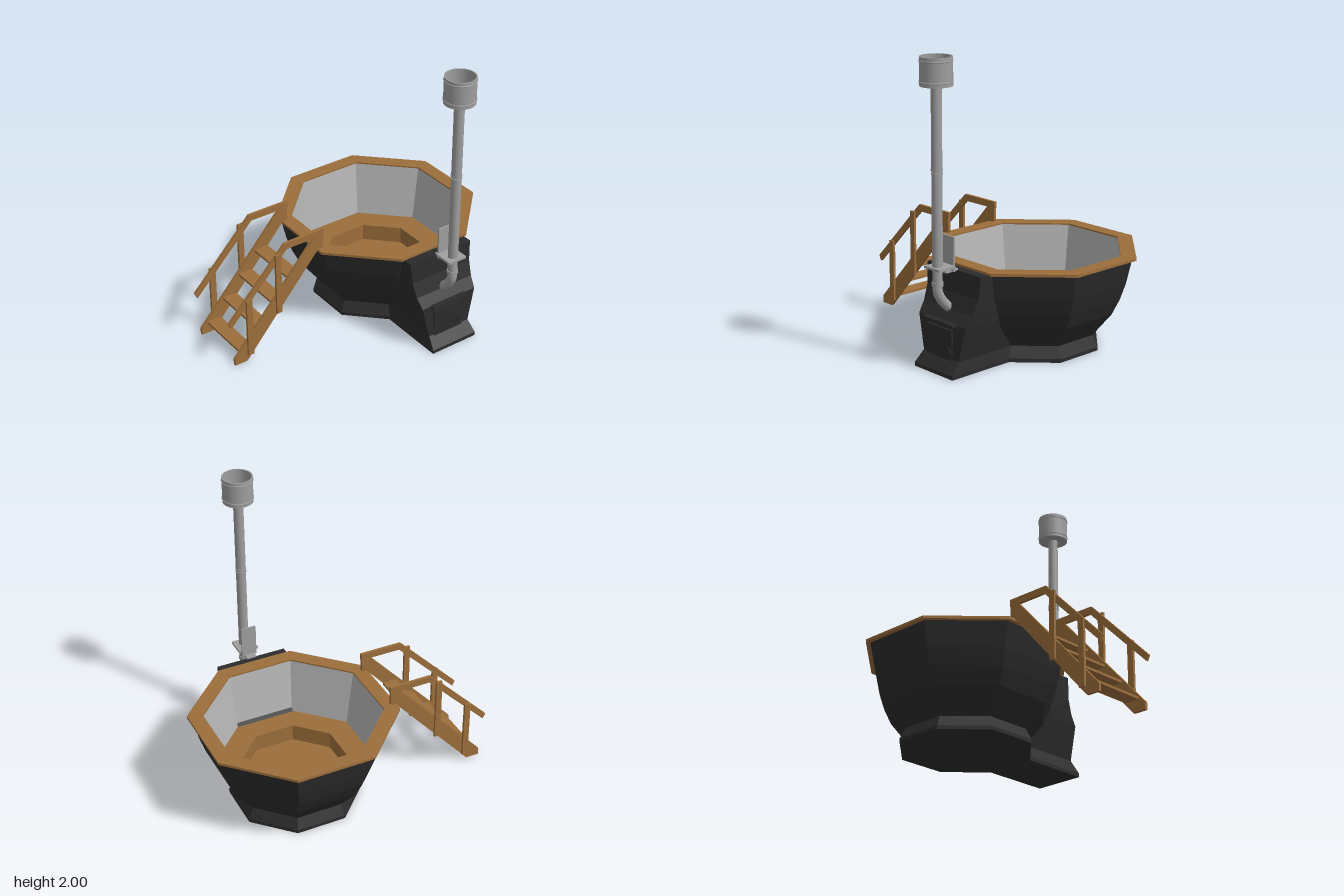
import * as THREE from 'three';

const mat = (name, color) => Object.assign(new THREE.MeshStandardMaterial({ color }), { name });

export function createModel() {
  const wood = mat('wood', 0x9c6e3b);
  const black = mat('black shell', 0x2b2b2b);
  const liner = mat('pale liner', 0xb4b4b4);
  const metal = mat('flue metal', 0x9e9e9e);

  const model = new THREE.Group();
  model.name = 'hotTub';
  const CX = -0.157, CZ = -0.35; // tub centre
  const FX = 0.685, FZ = -0.345; // flue axis
  const SX = -0.153; // stair centre

  const add = (parent, name, geo, material, x = 0, y = 0, z = 0) => {
    const m = new THREE.Mesh(geo, material);
    m.name = name;
    m.position.set(x, y, z);
    parent.add(m);
    return m;
  };
  const box = (parent, name, material, x0, x1, y0, y1, z0, z1) =>
    add(parent, name, new THREE.BoxGeometry(x1 - x0, y1 - y0, z1 - z0), material,
      (x0 + x1) / 2, (y0 + y1) / 2, (z0 + z1) / 2);
  const faceted = (geo) => {
    const g = geo.toNonIndexed();
    g.computeVertexNormals();
    return g;
  };
  const pts = (list) => list.map(([a, b]) => new THREE.Vector2(a, b));

  // Octagonal solid from [apothem, y] pairs, flats facing the axes
  const octagon = (profile) => faceted(new THREE.LatheGeometry(
    pts(profile.map(([a, y]) => [a / Math.cos(Math.PI / 8), y])), 8, Math.PI / 8));

  // Tub
  const tub = new THREE.Group();
  tub.name = 'tub';
  tub.position.set(CX, 0, CZ);
  model.add(tub);
  add(tub, 'outerShell', octagon([[0, 0], [0.415, 0], [0.415, 0.025], [0.38, 0.1],
    [0.5, 0.26], [0.55, 0.37], [0.585, 0.48], [0.62, 0.645]]), black);
  add(tub, 'innerLiner', octagon([[0.55, 0.65], [0.49, 0.27]]), liner);
  add(tub, 'benchAndFloor', octagon([[0.492, 0.27], [0.33, 0.27], [0.33, 0.15], [0, 0.15]]), wood);
  add(tub, 'rim', octagon([[0.55, 0.642], [0.648, 0.642], [0.648, 0.66], [0.55, 0.66], [0.55, 0.642]]), wood);

  // Stove housing: a box reshaped at each level [y, inner x, outer x, half width]
  const levels = [[0, 0.25, 0.73, 0.18], [0.025, 0.25, 0.73, 0.18], [0.1, 0.21, 0.665, 0.165],
    [0.33, 0.36, 0.655, 0.22], [0.4, 0.39, 0.605, 0.23], [0.5, 0.425, 0.567, 0.24], [0.645, 0.45, 0.555, 0.25]];
  const housing = new THREE.BoxGeometry(1, 1, 1, 1, levels.length - 1, 1);
  const p = housing.attributes.position;
  for (let i = 0; i < p.count; i++) {
    const [y, xi, xo, hz] = levels[Math.round((p.getY(i) + 0.5) * (levels.length - 1))];
    p.setXYZ(i, p.getX(i) > 0 ? xo : xi, y, CZ + Math.sign(p.getZ(i)) * hz);
  }
  const stove = new THREE.Group();
  stove.name = 'stove';
  model.add(stove);
  add(stove, 'stoveHousing', faceted(housing), black);
  box(stove, 'stoveDoor', black, 0.65, 0.672, 0.09, 0.29, -0.455, -0.22);
  box(stove, 'doorHandle', black, 0.67, 0.682, 0.135, 0.17, -0.445, -0.415);
  box(stove, 'doorHood', black, 0.63, 0.69, 0.322, 0.336, -0.485, -0.2);

  // Flue pipe
  const flue = new THREE.Group();
  flue.name = 'flue';
  model.add(flue);
  const turned = (name, profile) =>
    add(flue, name, new THREE.LatheGeometry(pts(profile), 24), metal, FX, 0, FZ);
  const pipe = (name, r, y0, y1) =>
    add(flue, name, new THREE.CylinderGeometry(r, r, y1 - y0, 24), metal, FX, (y0 + y1) / 2, FZ);
  pipe('lowerPipe', 0.034, 0.66, 1.285);
  pipe('pipeJoint', 0.03, 1.28, 1.3);
  pipe('upperPipe', 0.034, 1.295, 1.83);
  pipe('jointCollarLow', 0.037, 1.272, 1.285);
  pipe('jointCollarHigh', 0.037, 1.295, 1.308);
  pipe('elbowCollar', 0.037, 0.56, 0.585);
  const bend = new THREE.CatmullRomCurve3([[0.685, 0.68], [0.685, 0.58], [0.683, 0.52], [0.65, 0.46], [0.605, 0.415], [0.56, 0.385]]
    .map(([x, y]) => new THREE.Vector3(x, y, FZ)));
  add(flue, 'elbow', new THREE.TubeGeometry(bend, 24, 0.032, 20), metal);

  // Open chimney cap with ribs and a recessed floor
  pipe('capBase', 0.103, 1.82, 1.835);
  turned('capWallOutside', [[0.103, 1.82], [0.103, 2]]);
  turned('capLip', [[0.103, 2], [0.095, 2]]);
  turned('capWallInside', [[0.095, 2], [0.095, 1.835]]);
  for (const y of [1.845, 1.975]) {
    const rib = add(flue, 'capRib', new THREE.TorusGeometry(0.102, 0.005, 8, 28), metal, FX, y, FZ);
    rib.rotation.x = Math.PI / 2;
  }

  // Flue bracket and heat shield
  box(flue, 'bracketPlate', metal, 0.6, 0.735, 0.672, 0.688, -0.415, -0.275);
  box(flue, 'bracketArm', metal, 0.545, 0.645, 0.64, 0.654, -0.38, -0.31);
  box(flue, 'heatShield', metal, 0.588, 0.6, 0.645, 0.87, -0.398, -0.292);

  // Stairs: side profiles are drawn as [z, y] and extruded across x
  const stairs = new THREE.Group();
  stairs.name = 'stairs';
  model.add(stairs);
  const sidePlate = (name, outline, x0, x1) => {
    const g = new THREE.ExtrudeGeometry(new THREE.Shape(pts(outline.map(([z, y]) => [-z, y]))),
      { depth: x1 - x0, bevelEnabled: false });
    g.rotateY(Math.PI / 2);
    add(stairs, name, g, wood, x0, 0, 0);
  };
  const stringer = [[0.87, 0], [0.965, 0], [0.965, 0.05], [0.325, 0.757], [0.255, 0.757], [0.255, 0.668], [0.31, 0.64]];
  const handrail = [[0.982, 0.308], [1, 0.345], [0.555, 0.803], [0.25, 0.803], [0.25, 0.757], [0.54, 0.757]];
  for (const s of [-1, 1]) {
    const span = (a, b) => (s > 0 ? [SX + a, SX + b] : [SX - b, SX - a]);
    const side = s > 0 ? 'left' : 'right';
    sidePlate(side + 'Stringer', stringer, ...span(0.2, 0.22));
    sidePlate(side + 'Handrail', handrail, ...span(0.202, 0.222));
    box(stairs, side + 'LowerPost', wood, ...span(0.218, 0.236), 0.05, 0.485, 0.825, 0.868);
    box(stairs, side + 'UpperPost', wood, ...span(0.218, 0.236), 0.29, 0.745, 0.594, 0.636);
  }
  for (let i = 0; i < 4; i++) {
    const y = 0.083 + i * 0.142, z = 0.868 - i * 0.132;
    box(stairs, 'tread', wood, SX - 0.202, SX + 0.202, y - 0.008, y + 0.008, z - 0.052, z + 0.052);
  }
  return model;
}
